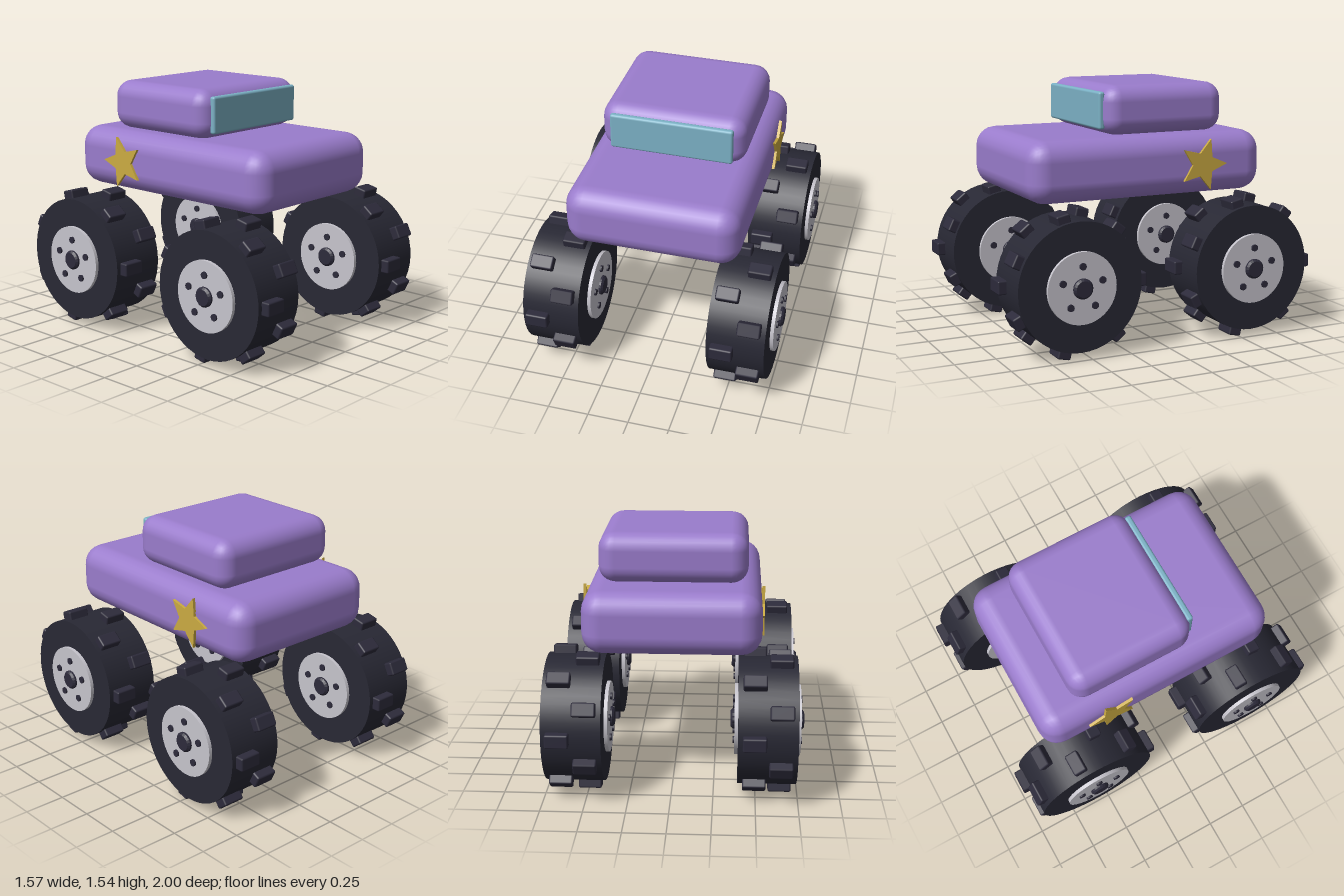
import * as THREE from 'three';
import { RoundedBoxGeometry } from 'three/addons/geometries/RoundedBoxGeometry.js';

const material = (name, color) => {
  const m = new THREE.MeshStandardMaterial({ color });
  m.name = name;
  return m;
};

export function createModel() {
  const paint = material('purple paint', 0x9a7ccc);
  const glass = material('blue glass', 0x7cb2c6);
  const gold = material('gold', 0xcbab42);
  const rubber = material('tyre rubber', 0x282834);
  const tread = material('dark tread', 0x2d2b3b);
  const metal = material('rim metal', 0xc6c4cc);

  const model = new THREE.Group();
  model.name = 'monsterTruck';

  const add = (parent, name, geometry, mat, x = 0, y = 0, z = 0) => {
    const mesh = new THREE.Mesh(geometry, mat);
    mesh.name = name;
    mesh.position.set(x, y, z);
    parent.add(mesh);
    return mesh;
  };

  // Body, cab and windscreen
  add(model, 'body', new RoundedBoxGeometry(1.054, 0.375, 1.55, 3, 0.125), paint, 0, 1.053, 0);
  add(model, 'cab', new RoundedBoxGeometry(0.885, 0.3, 0.8, 3, 0.1), paint, 0, 1.39, -0.137);
  add(model, 'windscreen', new RoundedBoxGeometry(0.75, 0.225, 0.04, 2, 0.015), glass, 0, 1.39, 0.264);

  // Five-pointed stars on both flanks, one tip towards the rear
  const star = new THREE.Shape();
  for (let i = 0; i < 10; i++) {
    const r = i % 2 ? 0.073 : 0.162;
    const a = (i * Math.PI) / 5;
    star[i ? 'lineTo' : 'moveTo'](r * Math.cos(a), r * Math.sin(a));
  }
  star.closePath();
  const starGeometry = new THREE.ExtrudeGeometry(star, { depth: 0.018, bevelEnabled: false });
  starGeometry.translate(0, 0, -0.009).rotateY(Math.PI / 2);
  for (const [side, name] of [[1, 'leftStar'], [-1, 'rightStar']]) {
    add(model, name, starGeometry, gold, side * 0.534, 1.053, -0.336);
  }

  // Wheel parts, all lying along the x axis
  const axial = (radius, length, sides) =>
    new THREE.CylinderGeometry(radius, radius, length, sides).rotateZ(Math.PI / 2);
  const tyre = axial(0.384, 0.347, 48);
  const rim = axial(0.213, 0.39, 48);
  const bolt = axial(0.021, 0.412, 12);
  const hub = new THREE.ExtrudeGeometry(new THREE.Shape().absarc(0, 0, 0.048, 0, Math.PI * 2), {
    depth: 0.414, bevelThickness: 0.012, bevelSize: 0.012, bevelSegments: 1, curveSegments: 10,
  }).translate(0, 0, -0.207).rotateY(Math.PI / 2);
  const lug = new RoundedBoxGeometry(0.138, 0.083, 0.08, 1, 0.01);

  const makeWheel = (name, x, z) => {
    const wheel = new THREE.Group();
    wheel.name = name;
    wheel.position.set(x, 0.432, z);
    add(wheel, 'tyre', tyre, rubber);
    add(wheel, 'rim', rim, metal);
    add(wheel, 'hub', hub, tread);
    for (let i = 0; i < 5; i++) {
      const a = Math.PI / 2 + (i * Math.PI * 2) / 5;
      add(wheel, 'bolt', bolt, tread, 0, 0.129 * Math.sin(a), 0.129 * Math.cos(a));
    }
    // Tread lugs alternate between two rows
    for (let i = 0; i < 14; i++) {
      const a = (i * Math.PI) / 7;
      const row = i % 2 ? 0.077 : -0.077;
      add(wheel, 'treadLug', lug, tread, row, 0.393 * Math.sin(a), 0.393 * Math.cos(a)).rotation.x = -a;
    }
    model.add(wheel);
  };

  for (const [sx, side] of [[1, 'Left'], [-1, 'Right']]) {
    makeWheel(`front${side}Wheel`, sx * 0.567, 0.567);
    makeWheel(`rear${side}Wheel`, sx * 0.567, -0.567);
  }

  return model;
}
